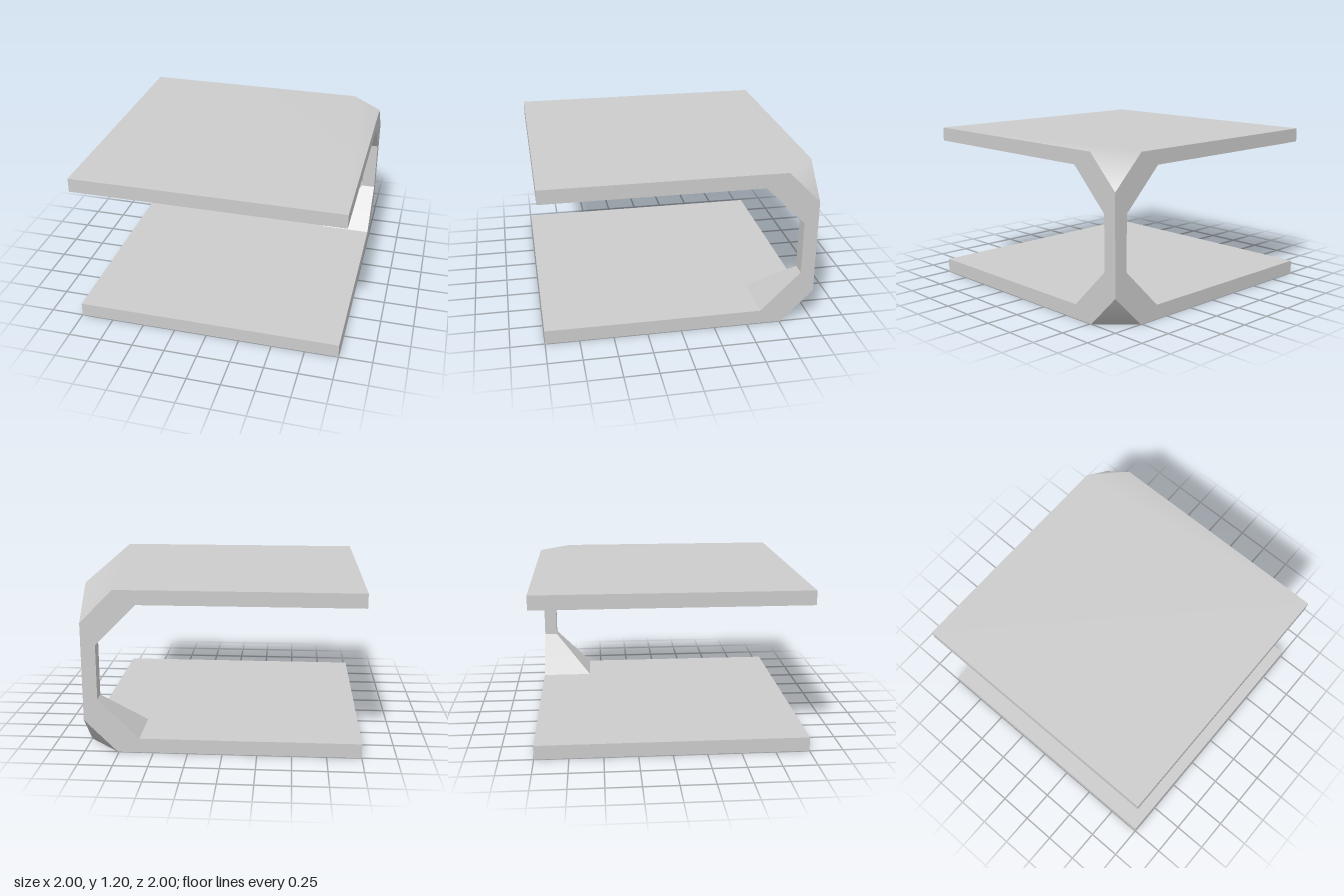
import * as THREE from 'three';

const H = 1.2;     // total height
const T = 0.105;   // plate and post thickness
const G = 0.6;     // where the inner flare starts
const BEVEL = 0.24; // size of the cut outer corner

// Cross-section at height y: square from the inner corner (i, -i) to the
// outer corner (1, -1), with that outer corner cut off by c.
const ring = (y, i, c) =>
  [[1, -i], [i, -i], [i, -1], [1 - c, -1], [1, c - 1]].map(([x, z]) => new THREE.Vector3(x, y, z));

// Flat-shaded walls between successive rings (the bevel edge is left to the skins)
function wallGeometry(rings) {
  const tris = [];
  const tri = (a, b, c) => {
    const area = b.clone().sub(a).cross(c.clone().sub(a)).length();
    if (area > 1e-7) tris.push(a, b, c);
  };
  for (let r = 0; r < rings.length - 1; r++) {
    for (const k of [0, 1, 2, 4]) {
      const n = (k + 1) % 5;
      const [lo, hi] = [rings[r], rings[r + 1]];
      tri(lo[k], hi[k], hi[n]);
      tri(lo[k], hi[n], lo[n]);
    }
  }
  const geometry = new THREE.BufferGeometry().setFromPoints(tris);
  geometry.computeVertexNormals();
  return geometry;
}

// Outer plate face blended smoothly into the bevelled corner triangle
function skinGeometry(outline, apexY, up) {
  const index = [0, 4, 3, 0, 3, 2, 0, 2, 1, 3, 4, 5];
  if (!up) index.reverse();
  const geometry = new THREE.BufferGeometry()
    .setFromPoints([...outline, new THREE.Vector3(1, apexY, -1)]);
  geometry.setIndex(index);
  geometry.computeVertexNormals();
  return geometry;
}

export function createModel() {
  const group = new THREE.Group();
  const material = new THREE.MeshStandardMaterial({ color: 0xcccccc });
  const add = (name, geometry) => {
    const mesh = new THREE.Mesh(geometry, material);
    mesh.name = name;
    group.add(mesh);
  };

  // Lower half profile: height, inner corner, bevel cut
  const profile = [
    [0, -1, BEVEL],
    [T, -1, BEVEL - T],
    [T, G, BEVEL - T],
    [BEVEL, G + BEVEL - T, 0],
    [1 - G, 1 - T, 0],
  ];
  const mirrored = profile.map(([y, i, c]) => [H - y, i, c]).reverse();
  const rings = [...profile, ...mirrored].map((p) => ring(...p));

  add('platesAndCornerPost', wallGeometry(rings));
  add('bottomFace', skinGeometry(rings[0], BEVEL, false));
  add('topFace', skinGeometry(rings[rings.length - 1], H - BEVEL, true));
  return group;
}
